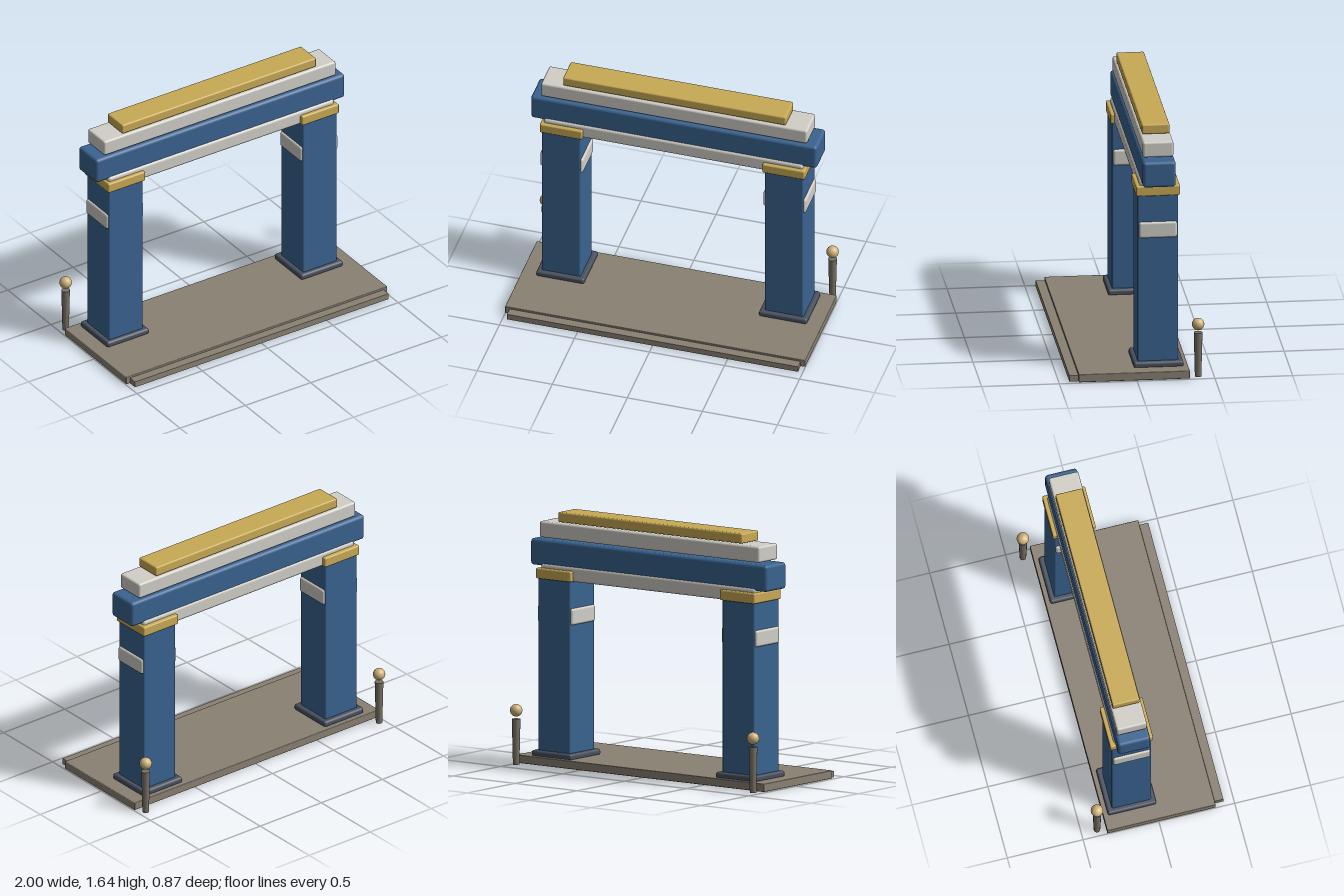
import * as THREE from 'three';
import { RoundedBoxGeometry } from 'three/addons/geometries/RoundedBoxGeometry.js';

const mat = (color) => new THREE.MeshStandardMaterial({ color });

export function createModel() {
  const group = new THREE.Group();
  const blue = mat(0x3a6390), white = mat(0xd2cfc8), gold = mat(0xc9aa55);
  const stone = mat(0x8a8173), slate = mat(0x48505f), tan = mat(0xd2b47c), post = mat(0x787064);

  const add = (name, geometry, material, x, y, z) => {
    const mesh = new THREE.Mesh(geometry, material);
    mesh.name = name;
    mesh.position.set(x, y, z);
    group.add(mesh);
    return mesh;
  };
  // Rounded block given by its extents on each axis
  const block = (name, material, [x0, x1], [y0, y1], [z0, z1], r) =>
    add(name, new RoundedBoxGeometry(x1 - x0, y1 - y0, z1 - z0, 2, r), material,
      (x0 + x1) / 2, (y0 + y1) / 2, (z0 + z1) / 2);

  // Ground slab, front step and the inlay under the slab
  block('baseSlab', stone, [-1, 1], [0.004, 0.057], [-0.34, 0.375], 0.005);
  add('frontStep', new THREE.BoxGeometry(1.94, 0.04, 0.08), stone, 0, 0.023, 0.393);
  add('baseInlay', new THREE.BoxGeometry(0.8, 0.02, 0.36), mat(0x9a8c62), 0, 0.012, 0.02);

  for (const side of [-1, 1]) {
    const span = (a, b) => (side > 0 ? [a, b] : [-b, -a]);
    // Pillar with its foot, side band and capital
    block('pillar', blue, span(0.613, 0.872), [0, 1.23], [-0.277, -0.018], 0.01);
    block('pillarFoot', slate, span(0.582, 0.902), [0.05, 0.092], [-0.31, 0.01], 0.015);
    block('pillarBand', white, span(0.599, 0.886), [0.92, 1.027], [-0.27, -0.025], 0.015);
    block('pillarCapital', gold, span(0.6, 0.883), [1.202, 1.27], [-0.29, -0.007], 0.01);

    // Rear bollard with a ball on top
    add('bollardPost', new THREE.CylinderGeometry(0.028, 0.021, 0.295, 16), post, side * 0.955, 0.152, -0.397);
    add('bollardBall', new THREE.SphereGeometry(0.04, 20, 14), tan, side * 0.955, 0.355, -0.397);
  }

  // Stacked beams, from the lower lintel to the cap
  block('lowerLintel', white, [-0.865, 0.865], [1.2, 1.3], [-0.262, -0.032], 0.02);
  block('mainBeam', blue, [-0.953, 0.953], [1.28, 1.452], [-0.255, -0.043], 0.02);
  block('upperBeam', white, [-0.887, 0.887], [1.463, 1.567], [-0.247, -0.05], 0.014);
  block('capBeam', gold, [-0.742, 0.742], [1.573, 1.638], [-0.238, -0.06], 0.01);

  return group;
}
